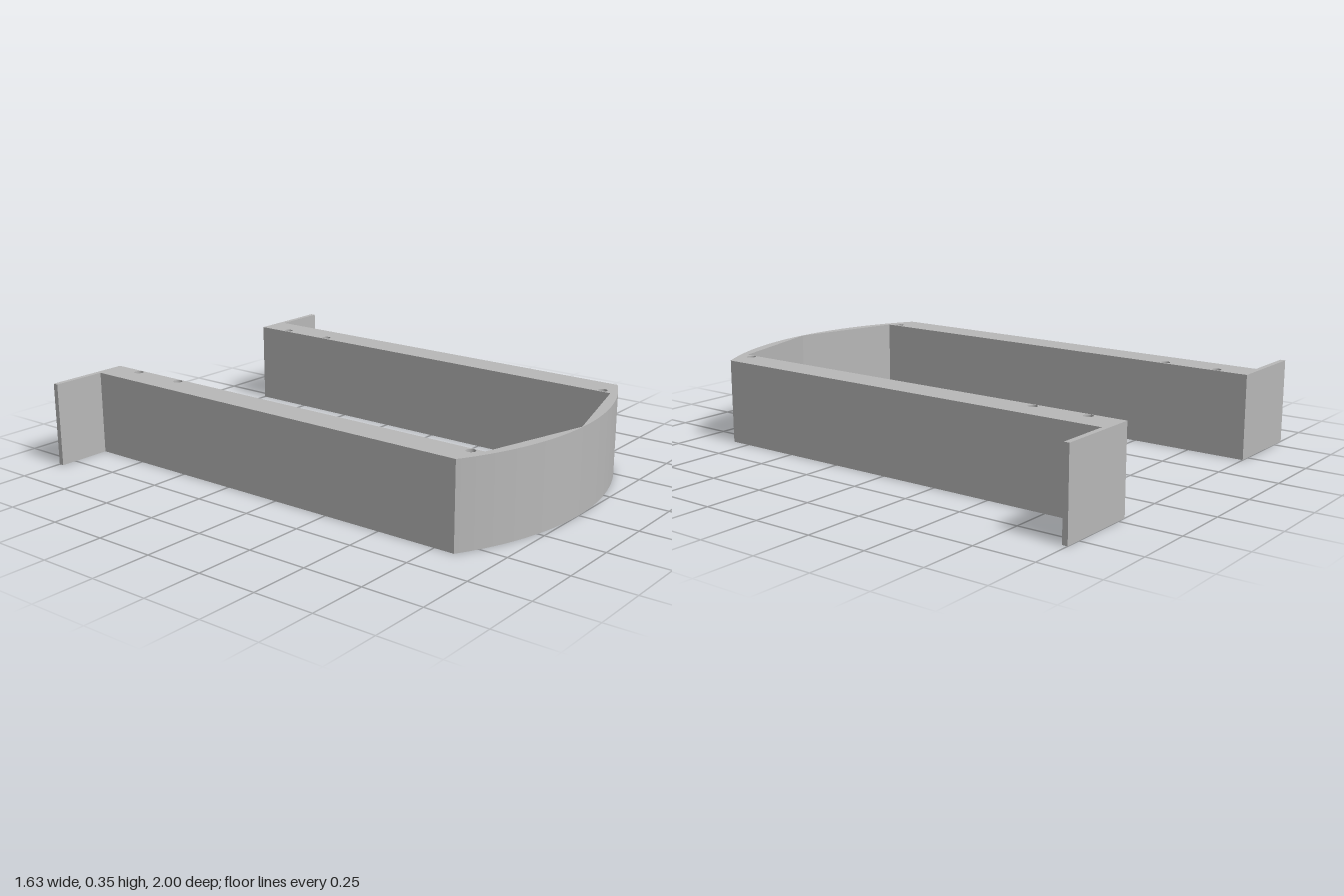
import * as THREE from 'three';

const HEIGHT = 0.35;
const OUTER = 0.587, INNER = 0.458; // arm faces in x
const BACK = -1, SHOULDER = 0.835, INNER_CORNER = 0.87;

export function createModel() {
  const model = new THREE.Group();
  model.name = 'bracket';
  const grey = new THREE.MeshStandardMaterial({ color: 0xb8b8b8 });
  grey.name = 'plain grey';

  // U-shaped plan, drawn with shape y = -z
  const sagitta = 1 - SHOULDER;
  const radius = (OUTER ** 2 + sagitta ** 2) / (2 * sagitta);
  const centreY = radius - 1;
  const angle = Math.atan2(SHOULDER + centreY, OUTER);
  const plan = new THREE.Shape();
  plan.moveTo(-OUTER, -BACK);
  plan.lineTo(-OUTER, -SHOULDER);
  plan.absarc(0, centreY, radius, Math.PI + angle, 2 * Math.PI - angle, false);
  plan.lineTo(OUTER, -BACK);
  plan.lineTo(INNER, -BACK);
  plan.lineTo(INNER, -INNER_CORNER);
  plan.lineTo(0, -0.997);
  plan.lineTo(-INNER, -INNER_CORNER);
  plan.lineTo(-INNER, -BACK);
  plan.closePath();

  // Screw holes right through both arms
  for (const side of [-1, 1]) {
    for (const z of [-0.857, -0.623, 0.825]) {
      const hole = new THREE.Path();
      hole.absarc(side * 0.48, -z, 0.019, 0, Math.PI * 2, true);
      plan.holes.push(hole);
    }
  }

  const frameGeometry = new THREE.ExtrudeGeometry(plan, {
    depth: HEIGHT, bevelEnabled: false, curveSegments: 32,
  });
  frameGeometry.rotateX(-Math.PI / 2);
  const frame = new THREE.Mesh(frameGeometry, grey);
  frame.name = 'armsAndCurvedFront';
  model.add(frame);

  // Thin mounting flanges turned outward at the back
  const flangeWidth = 0.817 - OUTER, flangeDepth = 0.022;
  for (const side of [-1, 1]) {
    const flange = new THREE.Mesh(new THREE.BoxGeometry(flangeWidth, HEIGHT, flangeDepth), grey);
    flange.name = side > 0 ? 'leftFlange' : 'rightFlange';
    flange.position.set(side * (OUTER + flangeWidth / 2), HEIGHT / 2, BACK + flangeDepth / 2);
    model.add(flange);
  }
  return model;
}
